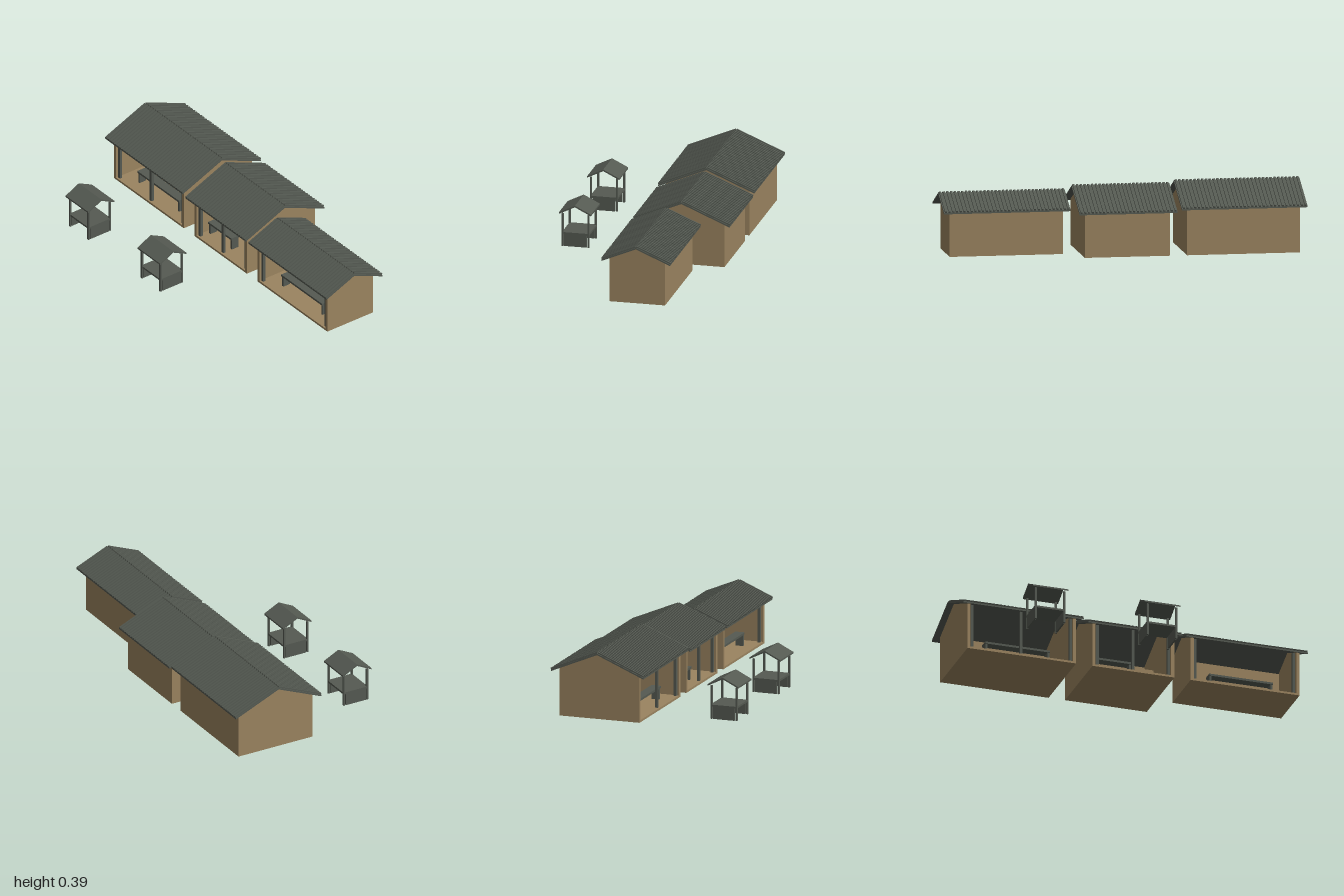
import * as THREE from 'three';
import { mergeGeometries } from 'three/addons/utils/BufferGeometryUtils.js';

const SLOPE = 0.42;

export function createModel() {
  const root = new THREE.Group();
  root.name = 'marketHouses';
  const tan = new THREE.MeshStandardMaterial({ color: 0x9b8460 });
  tan.name = 'clayWall';
  const grey = new THREE.MeshStandardMaterial({ color: 0x555a52 });
  grey.name = 'darkWood';

  // Box given by its min and max corners
  const boxGeo = (x0, x1, y0, y1, z0, z1) =>
    new THREE.BoxGeometry(x1 - x0, y1 - y0, z1 - z0)
      .translate((x0 + x1) / 2, (y0 + y1) / 2, (z0 + z1) / 2);

  // Outline in (z, y) extruded from x0 to x1
  const profileGeo = (points, x0, x1) => {
    const shape = new THREE.Shape(points.map(([z, y]) => new THREE.Vector2(z, y)));
    return new THREE.ExtrudeGeometry(shape, { depth: x1 - x0, bevelEnabled: false })
      .rotateY(-Math.PI / 2).translate(x1, 0, 0);
  };

  const add = (group, name, geometry, material) => {
    const mesh = new THREE.Mesh(geometry, material);
    mesh.name = name;
    group.add(mesh);
  };

  // Bench with a slab seat on two end boards
  const addBench = (group, x0, x1) => {
    add(group, 'benchSeat', boxGeo(x0, x1, 0.075, 0.087, -0.115, -0.06), grey);
    for (const x of [x0 + 0.002, x1 - 0.014])
      add(group, 'benchLeg', boxGeo(x, x + 0.012, 0.012, 0.075, -0.11, -0.065), grey);
  };

  // Ribbed gable roof; eave is the underside height at the edge
  const addRoof = (group, x0, x1, zBack, zFront, eave) => {
    const half = (zFront - zBack) / 2, ridge = (zFront + zBack) / 2;
    const peak = eave + SLOPE * half, t = 0.009;
    add(group, 'roofSlab', profileGeo([
      [zFront, eave], [zFront, eave + t], [ridge, peak + t],
      [zBack, eave + t], [zBack, eave], [ridge, peak],
    ], x0, x1), grey);
    const angle = Math.atan(SLOPE), h = 0.009, ribs = [];
    const count = Math.round((x1 - x0) / 0.021);
    const step = (x1 - x0) / count;
    for (let i = 0; i < count; i++) {
      for (const side of [1, -1]) {
        ribs.push(new THREE.BoxGeometry(step * 0.5, h, half / Math.cos(angle))
          .rotateX(side * angle)
          .translate(x0 + (i + 0.5) * step,
            eave + t + SLOPE * half / 2 + h * 0.4,
            ridge + side * (half / 2 + h * 0.2)));
      }
    }
    add(group, 'roofRibs', mergeGeometries(ribs), grey);
  };

  // Open-fronted house
  const addHouse = (name, x0, x1, zBack, eave, roofX0, roofX1, postXs) => {
    const g = new THREE.Group();
    g.name = name;
    root.add(g);
    const zFront = 0.005, w = 0.018;
    const wallTop = eave + SLOPE * 0.035;
    const mid = (zFront + zBack) / 2;
    const peak = wallTop + SLOPE * (zFront - zBack) / 2;
    const gable = [[zFront, 0], [zFront, wallTop], [mid, peak], [zBack, wallTop], [zBack, 0]];
    add(g, 'rightWall', profileGeo(gable, x0, x0 + w), tan);
    add(g, 'leftWall', profileGeo(gable, x1 - w, x1), tan);
    add(g, 'backWall', boxGeo(x0 + w, x1 - w, 0, wallTop, zBack, zBack + w), tan);
    add(g, 'floor', boxGeo(x0 + w, x1 - w, 0, 0.012, zBack + w, zFront), tan);
    for (const x of postXs)
      add(g, 'post', boxGeo(x - 0.008, x + 0.008, 0.012, wallTop, -0.022, -0.006), grey);
    addRoof(g, roofX0, roofX1, zBack - 0.037, 0.04, eave);
    return g;
  };

  const large = addHouse('largeHouse', -0.965, -0.335, -0.467, 0.256, -1, -0.3, [-0.935, -0.65, -0.362]);
  addBench(large, -0.84, -0.465);
  // Shelves along the back wall
  for (const y of [0.045, 0.085, 0.127])
    add(large, 'shelf', boxGeo(-0.935, -0.36, y - 0.005, y + 0.005, -0.449, -0.39), grey);

  const middle = addHouse('middleHouse', -0.24, 0.235, -0.467, 0.243, -0.275, 0.27, [-0.207, 0, 0.207]);
  addBench(middle, -0.2, 0.01);
  add(middle, 'partition', boxGeo(-0.222, 0.217, 0.012, 0.175, -0.315, -0.3), tan);

  const small = addHouse('smallHouse', 0.33, 0.962, -0.31, 0.243, 0.295, 1, [0.36, 0.932]);
  addBench(small, 0.46, 0.83);

  // Market stalls
  for (const cx of [-0.65, 0]) {
    const g = new THREE.Group();
    g.name = 'stall';
    g.position.x = cx;
    root.add(g);
    add(g, 'canopy', profileGeo([
      [0.504, 0.188], [0.504, 0.197], [0.413, 0.242],
      [0.322, 0.197], [0.322, 0.188], [0.413, 0.233],
    ], -0.102, 0.102), grey);
    add(g, 'counter', boxGeo(-0.088, 0.088, 0.069, 0.08, 0.335, 0.49), grey);
    for (const side of [-1, 1]) {
      const x = side * 0.083;
      add(g, 'sidePanel', boxGeo(x - 0.005, x + 0.005, 0, 0.069, 0.35, 0.477), grey);
      for (const z of [0.34, 0.487])
        add(g, 'stallPost', boxGeo(x - 0.006, x + 0.006, 0, 0.188, z - 0.005, z + 0.005), grey);
    }
  }
  return root;
}
